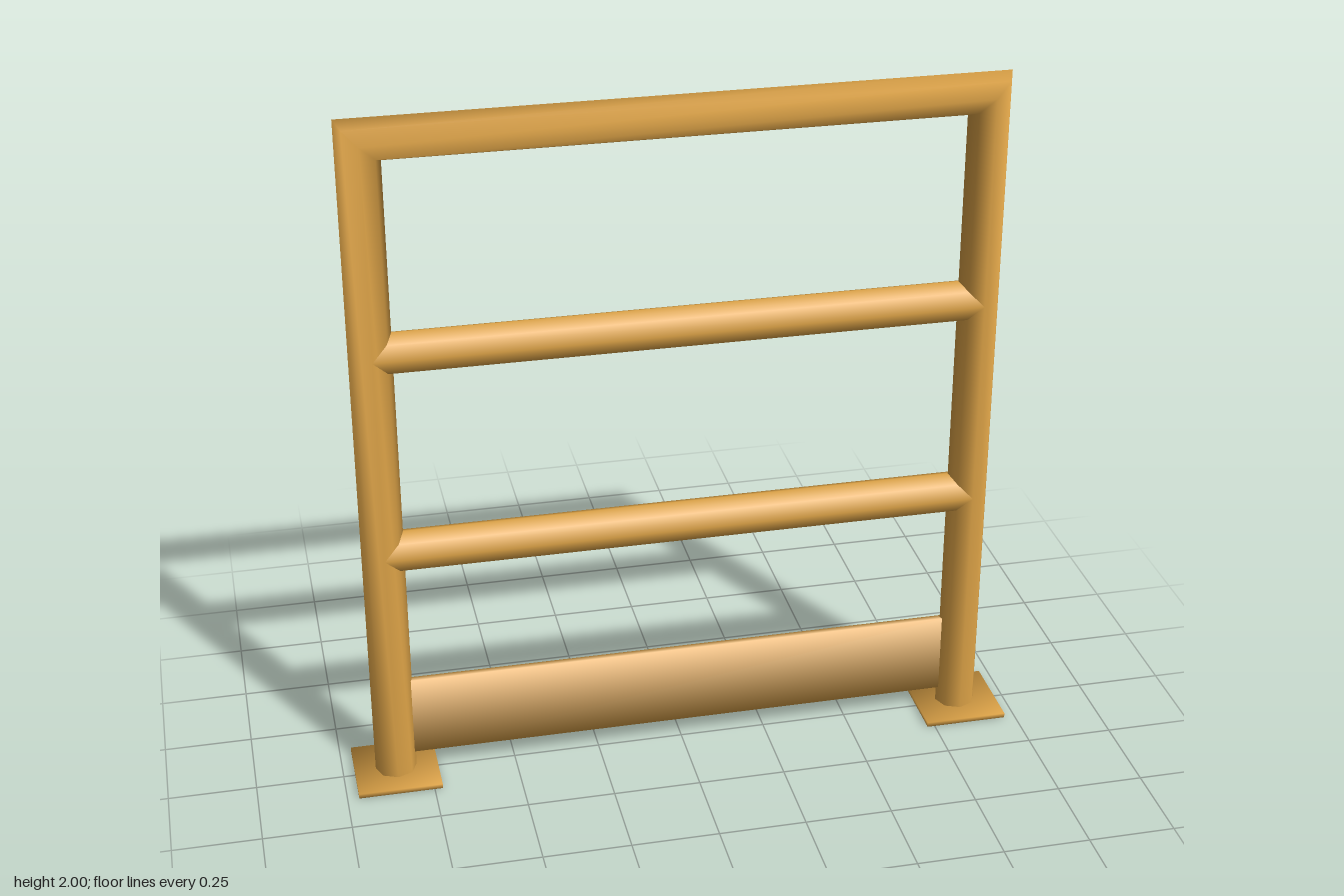
import * as THREE from 'three';

const R = 0.0595;      // tube radius
const POST_X = 0.847;  // post axis
const TOP_Y = 2 - R;   // top rail axis
const SIDES = 8;

// One continuous tube: post, mitred corner, top rail, mitred corner, post
function frameGeometry() {
  const rings = [
    { x: -POST_X, y: 0, nx: -1, ny: 0 },
    { x: -POST_X, y: TOP_Y, nx: -1, ny: 1 },
    { x: POST_X, y: TOP_Y, nx: 1, ny: 1 },
    { x: POST_X, y: 0, nx: 1, ny: 0 },
  ];
  const pos = [], index = [];
  rings.forEach((r, i) => {
    for (let j = 0; j < SIDES; j++) {
      const a = (j / SIDES) * Math.PI * 2;
      const out = R * Math.cos(a);
      pos.push(r.x + out * r.nx, r.y + out * r.ny, R * Math.sin(a));
      if (i < rings.length - 1) {
        const k = (j + 1) % SIDES;
        const a0 = i * SIDES + j, b0 = i * SIDES + k;
        index.push(a0, b0, a0 + SIDES, b0, b0 + SIDES, a0 + SIDES);
      }
    }
  });
  const g = new THREE.BufferGeometry();
  g.setAttribute('position', new THREE.Float32BufferAttribute(pos, 3));
  g.setIndex(index);
  g.computeVertexNormals();
  return g;
}

// Box whose normals are blended around its edges; wx, wy, wz weigh the axes
function softBox(w, h, d, wx, wy, wz) {
  const g = new THREE.BoxGeometry(w, h, d);
  const p = g.attributes.position, n = g.attributes.normal;
  const v = new THREE.Vector3();
  for (let i = 0; i < p.count; i++) {
    v.set(Math.sign(p.getX(i)) * wx, Math.sign(p.getY(i)) * wy, Math.sign(p.getZ(i)) * wz).normalize();
    n.setXYZ(i, v.x, v.y, v.z);
  }
  return g;
}

export function createModel() {
  const group = new THREE.Group();
  const paint = new THREE.MeshStandardMaterial({ color: 0xdda347, side: THREE.DoubleSide });
  paint.name = 'ochre paint';
  const hollow = new THREE.MeshStandardMaterial({ color: 0x0a0806 });
  hollow.name = 'dark tube opening';

  const add = (name, geometry, material, x, y, z) => {
    const mesh = new THREE.Mesh(geometry, material);
    mesh.name = name;
    mesh.position.set(x, y, z);
    group.add(mesh);
    return mesh;
  };

  add('hoopFrame', frameGeometry(), paint, 0, 0, 0);

  // Cross rails run into the post axes
  const railGeo = new THREE.CylinderGeometry(R, R, POST_X * 2, SIDES, 1, true);
  railGeo.rotateZ(Math.PI / 2);
  add('upperRail', railGeo, paint, 0, 1.336, 0);
  add('lowerRail', railGeo, paint, 0, 0.731, 0);

  // Kick plate between the posts
  add('kickPlate', softBox(1.6, 0.242, 0.02, 0, 1, 1), paint, 0, 0.185, 0);

  // Foot plates with the open tube end showing underneath
  const footGeo = softBox(0.24, 0.014, 0.24, 1, 1, 1);
  const openingGeo = new THREE.CircleGeometry(R, 16);
  openingGeo.rotateX(Math.PI / 2);
  for (const [side, s] of [['left', 1], ['right', -1]]) {
    add(side + 'FootPlate', footGeo, paint, s * POST_X, 0.009, 0);
    add(side + 'TubeOpening', openingGeo, hollow, s * POST_X, 0, 0);
  }
  return group;
}
